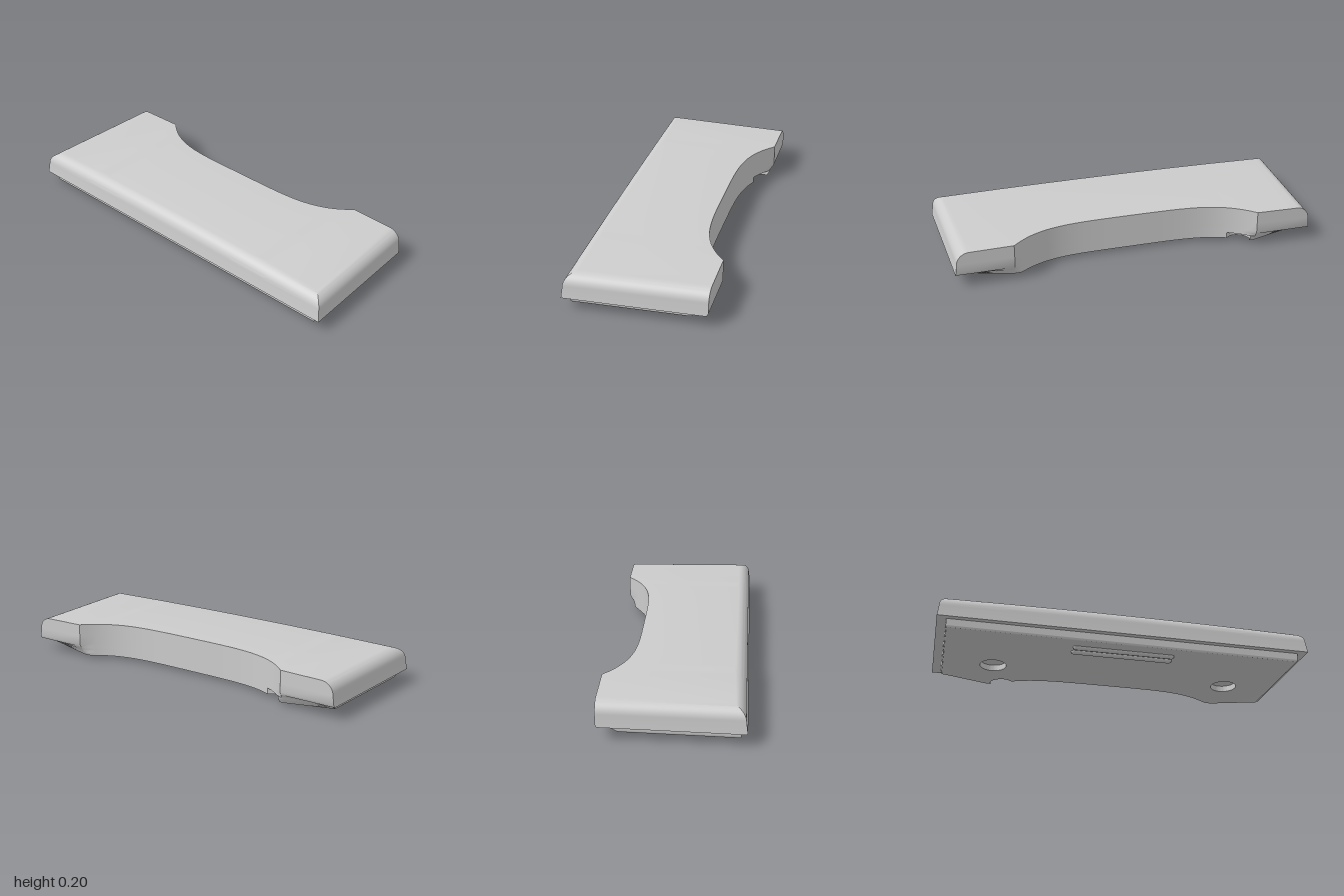
import * as THREE from 'three';
import { toCreasedNormals } from 'three/addons/utils/BufferGeometryUtils.js';

const XR = 0.366, ZC = 0.665; // straight arm face, and where the concave bay meets it
const BASE_Y = 0.016, LID_Y = 0.067, ARM_Y = 0.083; // base underside, lid rim, top of arm undercut
const bayX = z => 0.215 + (XR - 0.215) * Math.pow(Math.abs(z) / ZC, 4.4);
const bayZ = Array.from({ length: 41 }, (_, i) => ZC * (1 - i / 20));

// Lid: stacked outlines, rounded on the left and both ends, cut straight on the bay side
function lidGeometry() {
  const rows = [[0, LID_Y, XR - 0.008], [0.002, ARM_Y, XR]];
  for (let k = 0; k <= 12; k++) {
    const a = k / 12 * Math.PI / 2;
    rows.push([0.008 + 0.067 * (1 - Math.cos(a)), 0.135 + 0.069 * Math.sin(a), XR]);
  }
  const pos = [], index = [];
  const m = bayZ.length + 2, n = m * 2;
  for (const [d, y, xMax] of rows) {
    const xl = -XR + d;
    const endZ = x => 1 - 0.029 * (x + XR) / (2 * XR) - d;
    const right = bayZ.map(z => [Math.min(bayX(z), xMax), z]);
    right.unshift([xMax, endZ(xMax)]);
    right.push([xMax, -endZ(xMax)]);
    const left = bayZ.map(z => [xl, z]);
    left.unshift([xl, endZ(xl)]);
    left.push([xl, -endZ(xl)]);
    // the top is slightly arched along its length
    for (const [x, z] of [...right, ...left.reverse()])
      pos.push(x, y - 0.011 * z * z * (y - LID_Y) / 0.137, z);
  }
  const quad = (a, b, c, d) => index.push(a, b, c, a, c, d);
  for (let r = 0; r < rows.length - 1; r++)
    for (let i = 0; i < n; i++) {
      const a = r * n + i, b = r * n + (i + 1) % n;
      quad(a, b, b + n, a + n);
    }
  const top = (rows.length - 1) * n;
  for (let i = 0; i < m - 1; i++) {
    quad(top + i, top + i + 1, top + n - 2 - i, top + n - 1 - i);
    quad(n - 1 - i, n - 2 - i, i + 1, i);
  }
  const g = new THREE.BufferGeometry();
  g.setAttribute('position', new THREE.Float32BufferAttribute(pos, 3));
  g.setIndex(index);
  return toCreasedNormals(g, 0.5);
}

// Base layer: extruded plan, with rounded lower rim and arms undercut on a slope
function baseGeometry(y0, y1, steps, detailed) {
  const xl = -0.335, zl = 0.95, zr = 0.925;
  const pts = [[XR, zr]];
  const n0 = -0.53, n1 = -0.64;
  let notched = false;
  for (const z of bayZ) {
    if (detailed && z <= n0 && z >= n1) {
      // scooped notch in the bay wall
      if (!notched)
        for (let k = 0; k <= 10; k++) {
          const t = k / 10, bulge = 0.055 * Math.sqrt(4 * t * (1 - t));
          pts.push([
            THREE.MathUtils.lerp(bayX(n0), bayX(n1), t) - 0.83 * bulge,
            THREE.MathUtils.lerp(n0, n1, t) - 0.56 * bulge]);
        }
      notched = true;
    } else pts.push([bayX(z), z]);
  }
  pts.push([XR, -zr], [xl, -zl], [xl, zl]);
  const shape = new THREE.Shape(pts.map(([x, z]) => new THREE.Vector2(x, -z)));
  // round recesses in the underside
  if (detailed)
    for (const s of [-1, 1])
      shape.holes.push(new THREE.Path().absarc(0.075, s * 0.658, 0.071, 0, Math.PI * 2, true));
  const g = new THREE.ExtrudeGeometry(shape, { depth: y1 - y0, steps, bevelEnabled: false, curveSegments: 32 });
  g.rotateX(-Math.PI / 2);
  g.translate(0, y0, 0);
  const p = g.attributes.position;
  for (let i = 0; i < p.count; i++) {
    let x = p.getX(i), z = p.getZ(i);
    const y = p.getY(i), az = Math.abs(z);
    const u = Math.max(0, 1 - (y - BASE_Y) / 0.012);
    const inset = 0.012 * (1 - Math.sqrt(Math.max(0, 1 - u * u)));
    const low = THREE.MathUtils.mapLinear(Math.max(az, ZC), ZC, zr, 0.33, 0.255);
    x = Math.min(x, THREE.MathUtils.lerp(low, XR, (y - BASE_Y) / (ARM_Y - BASE_Y)));
    if (x < xl + 0.001) x += inset;
    if (az > zr - 0.001) z -= Math.sign(z) * inset;
    p.setXYZ(i, x, y, z);
  }
  return toCreasedNormals(g, 0.6);
}

export function createModel() {
  const model = new THREE.Group();
  model.name = 'contouredCover';
  const grey = new THREE.MeshStandardMaterial({ color: 0xcccccc });
  grey.name = 'lightGrey';
  const add = (name, geometry) => {
    const mesh = new THREE.Mesh(geometry, grey);
    mesh.name = name;
    model.add(mesh);
    return mesh;
  };

  add('lid', lidGeometry());
  add('baseUpper', baseGeometry(0.049, LID_Y, 1, false));
  add('baseLower', baseGeometry(BASE_Y, 0.049, 16, true));

  // Pair of round ribs under the base
  for (const x of [-0.253, -0.198]) {
    const rib = add('rib', new THREE.CapsuleGeometry(0.016, 0.52, 8, 20));
    rib.rotation.x = Math.PI / 2;
    rib.position.set(x, 0.016, 0);
  }
  return model;
}
